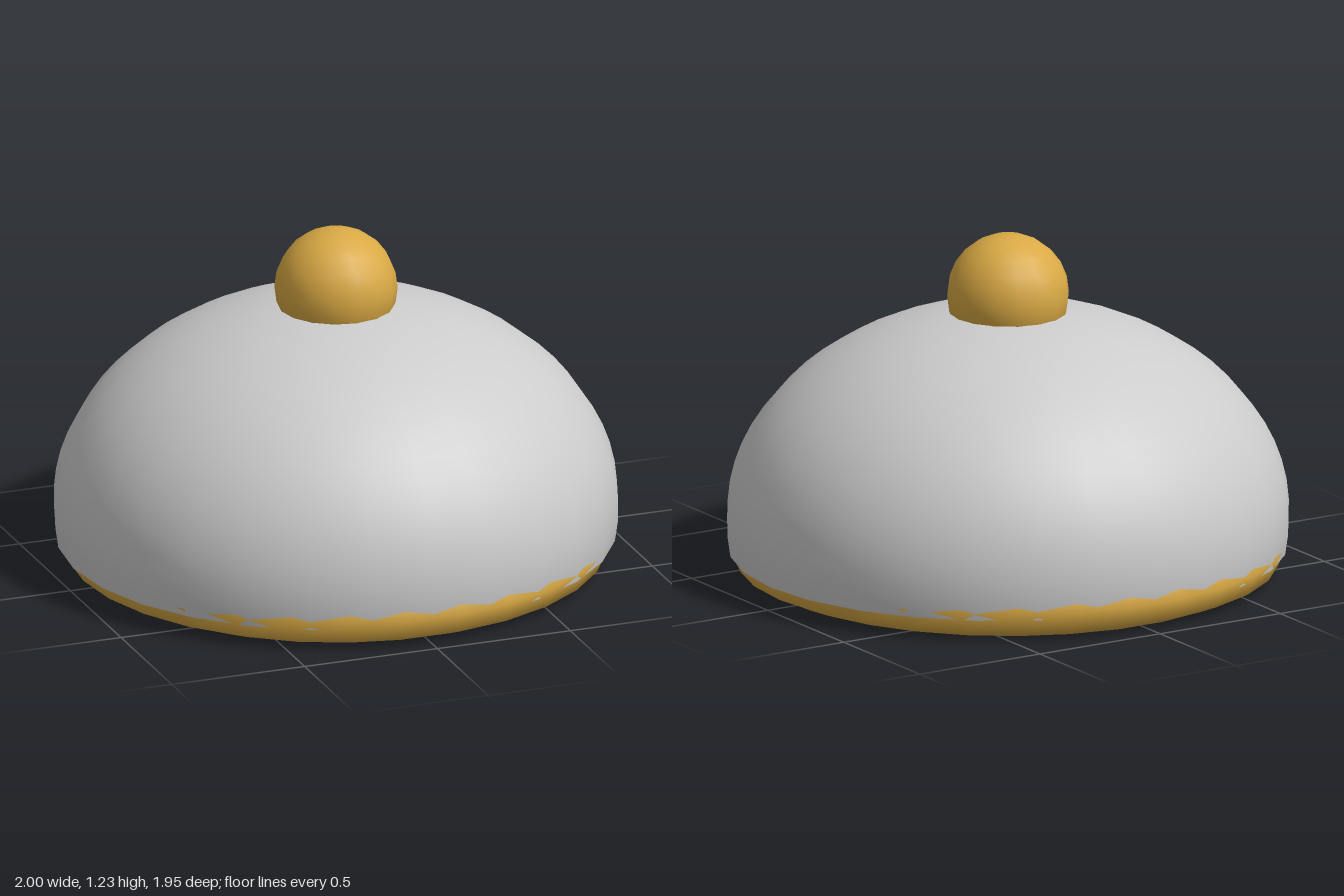
import * as THREE from 'three';

export function createModel() {
  const group = new THREE.Group();
  const shell = new THREE.MeshStandardMaterial({ color: 0xcccccc, side: THREE.DoubleSide });
  const gold = new THREE.MeshStandardMaterial({ color: 0xd9a944 });

  const add = (name, geometry, material, y) => {
    const mesh = new THREE.Mesh(geometry, material);
    mesh.name = name;
    mesh.position.y = y;
    group.add(mesh);
    return mesh;
  };

  // Open squashed dome, curling slightly inward below its widest ring
  const dome = new THREE.SphereGeometry(1, 28, 18, 0, Math.PI * 2, 0, Math.PI * 0.55);
  dome.scale(1, 0.76, 0.978);
  add('dome', dome, shell, 0.2);

  // Rolled rim around the opening
  const rim = new THREE.TorusGeometry(0.877, 0.105, 8, 30);
  rim.rotateX(Math.PI / 2);
  add('rim', rim, gold, 0.105);

  // Round knob sunk into the crown
  add('topKnob', new THREE.SphereGeometry(0.217, 16, 12), gold, 1.008);

  return group;
}
